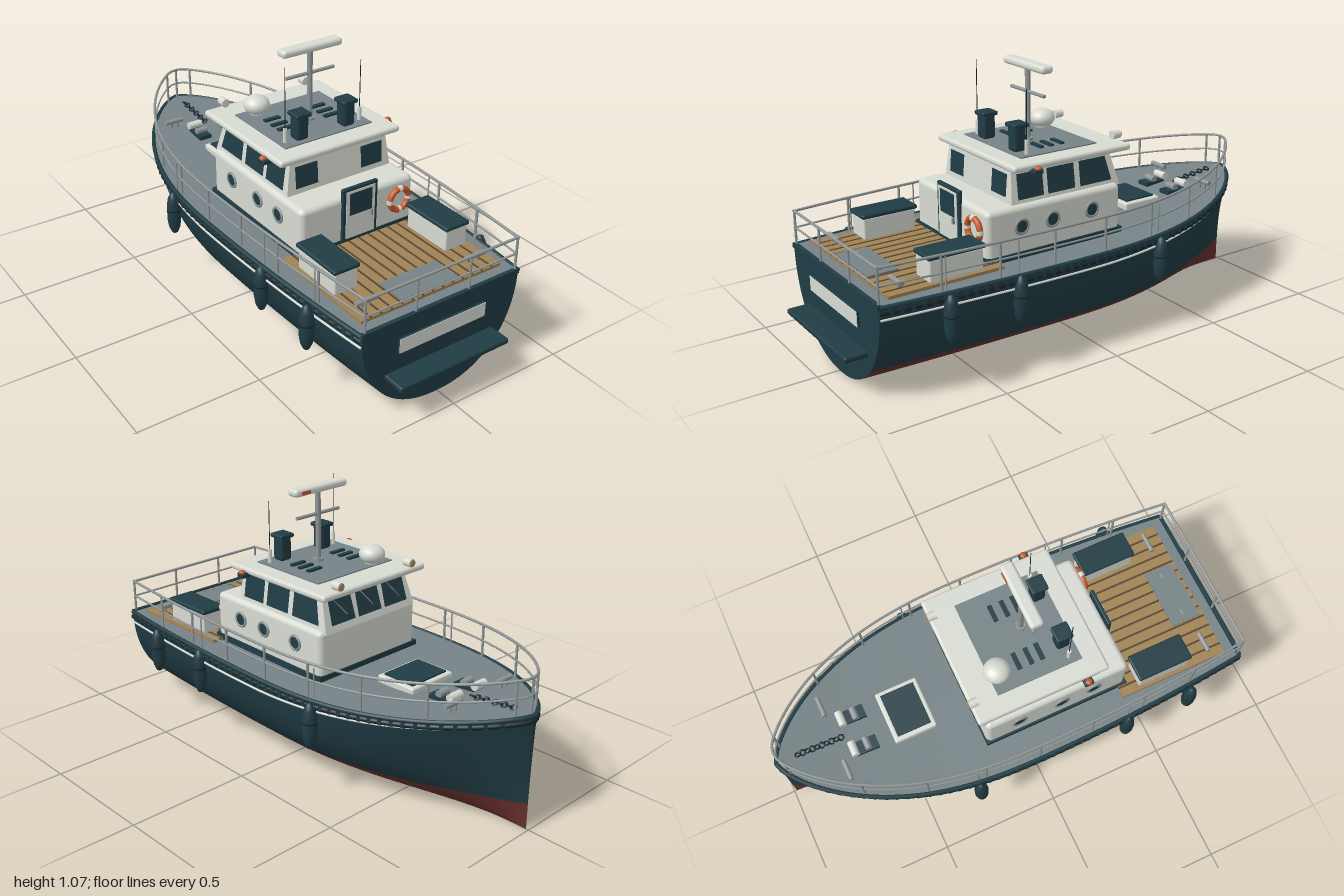
import * as THREE from 'three';
import { RoundedBoxGeometry } from 'three/addons/geometries/RoundedBoxGeometry.js';

const mat = (name, color, side = THREE.FrontSide) => {
  const m = new THREE.MeshStandardMaterial({ color, side });
  m.name = name;
  return m;
};
const TWO = THREE.DoubleSide;
const M = {
  teal: mat('dark teal', 0x203c44, TWO), red: mat('antifouling red', 0x68312e, TWO),
  deck: mat('deck grey', 0x768386, TWO), white: mat('off white', 0xd7dbd2),
  wood: mat('teak', 0xa08355), seam: mat('teak seam', 0x584630), orange: mat('safety orange', 0xc65a2a),
  metal: mat('rail metal', 0x8f9596, TWO), black: mat('black rubber', 0x16242a), tan: mat('lens tan', 0xb08a5c),
};

// Hull lines: half beam, sheer height and section width
const STERN = 0.91, BOW = -0.99, WATER = 0.105;
const fwd = z => Math.min(1, Math.max(0, -z) / 0.99);
const beam = z => z < 0 ? 0.403 * (1 - fwd(z) ** 2.5) ** 0.73 : 0.403 - 0.048 * (z / STERN) ** 2;
const sheer = z => 0.39 + 0.07 * fwd(z) ** 2;
const hullX = (z, y) => {
  const s = Math.min(1, Math.max(0, y / sheer(z)));
  const round = (1 - (1 - s) ** 2.2) ** (1 / 2.2);
  return beam(z) * THREE.MathUtils.lerp(round, s ** 0.8, fwd(z) ** 2.2);
};
const station = u => BOW + (STERN - BOW) * u ** 1.7;

// Surface from a rule f(u, v) -> [x, y, z]
function surface(nu, nv, f) {
  const pos = [], idx = [];
  for (let i = 0; i <= nu; i++) for (let j = 0; j <= nv; j++) pos.push(...f(i / nu, j / nv));
  for (let i = 0; i < nu; i++) for (let j = 0; j < nv; j++) {
    const a = i * (nv + 1) + j, b = a + nv + 1;
    idx.push(a, a + 1, b, b, a + 1, b + 1);
  }
  const g = new THREE.BufferGeometry();
  g.setAttribute('position', new THREE.Float32BufferAttribute(pos, 3));
  g.setIndex(idx);
  g.computeVertexNormals();
  return g;
}
const quad = (a, b, c, d) => surface(1, 1, (u, v) => (u ? (v ? c : b) : (v ? d : a)));

export function createModel() {
  const root = new THREE.Group();
  root.name = 'motorBoat';
  const add = (name, geo, m, x = 0, y = 0, z = 0) => {
    const mesh = new THREE.Mesh(geo, m);
    mesh.name = name;
    mesh.position.set(x, y, z);
    root.add(mesh);
    return mesh;
  };
  // Box given by its limits, optionally rounded
  const box = (name, m, x0, x1, y0, y1, z0, z1, r = 0) => add(name,
    r ? new RoundedBoxGeometry(x1 - x0, y1 - y0, z1 - z0, 3, r) : new THREE.BoxGeometry(x1 - x0, y1 - y0, z1 - z0),
    m, (x0 + x1) / 2, (y0 + y1) / 2, (z0 + z1) / 2);
  const cyl = (name, m, r, h, x, y, z, axis = 'y') => {
    const g = new THREE.CylinderGeometry(r, r, h, 20);
    if (axis === 'x') g.rotateZ(Math.PI / 2);
    if (axis === 'z') g.rotateX(Math.PI / 2);
    return add(name, g, m, x, y, z);
  };
  const tube = (name, m, pts, r) => add(name,
    new THREE.TubeGeometry(new THREE.CatmullRomCurve3(pts), 140, r, 8), m);
  // U-shaped path from stern to bow and back
  const around = (xf, yf, tip = BOW) => Array.from({ length: 49 }, (_, i) => {
    const a = (i - 24) / 24, z = tip + (STERN - tip) * Math.abs(a) ** 1.7;
    return new THREE.Vector3(Math.sign(a) * Math.max(0, xf(z)), yf(z), z);
  });

  // Hull
  add('hullBottom', surface(60, 40, (u, v) => {
    const z = station(u), k = v * 2 - 1, y = WATER * Math.abs(k) ** 2.2;
    return [Math.sign(k) * hullX(z, y), y, z];
  }), M.red);
  for (const s of [-1, 1]) add('hullSide', surface(60, 16, (u, v) => {
    const z = station(u), y = WATER + (sheer(z) - WATER) * v;
    return [s * hullX(z, y), y, z];
  }), M.teal);
  add('transom', surface(24, 1, (u, v) => {
    const y = 0.39 * u ** 2.2;
    return [(v * 2 - 1) * hullX(STERN, y), y, STERN];
  }), M.teal);
  add('deck', surface(60, 2, (u, v) => {
    const z = station(u);
    return [(v * 2 - 1) * beam(z), sheer(z) - 0.002, z];
  }), M.deck);
  tube('gunwale', M.teal, around(z => beam(z), z => sheer(z) - 0.006), 0.009);
  const rubY = z => sheer(z) - 0.026;
  tube('rubRail', M.black, around(z => hullX(z, rubY(z)) + 0.001, rubY), 0.01);
  const stripeY = z => sheer(z) - 0.052 + 0.025 * fwd(z);
  tube('hullStripe', M.white, around(z => hullX(z, stripeY(z)) + 0.003, stripeY), 0.0045);
  // Ribs along the rub rail
  for (let i = 0; i < 46; i++) for (const s of [-1, 1]) {
    const z = -0.93 + i * 0.04;
    const rib = add('rubRib', new THREE.BoxGeometry(0.014, 0.024, 0.014), M.teal, s * (hullX(z, rubY(z)) + 0.004), rubY(z) + 0.004, z);
    rib.rotation.y = s * Math.atan((beam(z + 0.01) - beam(z - 0.01)) / 0.02);
  }
  box('sternCap', M.teal, -0.355, 0.355, 0.375, 0.394, 0.9, 0.916);
  box('sternPanelBack', M.teal, -0.197, 0.195, 0.255, 0.313, 0.905, 0.919);
  box('sternPanel', M.white, -0.197, 0.195, 0.255, 0.313, 0.919, 0.921);
  box('swimPlatform', M.teal, -0.25, 0.25, 0.157, 0.18, 0.895, 1.0, 0.008);

  // Fenders
  for (const s of [-1, 1]) for (const z of [-0.29, 0.37, 0.66]) {
    const prof = [[0, -0.095], [0.012, -0.09], [0.023, -0.065], [0.028, -0.03], [0.028, 0.03], [0.023, 0.065], [0.012, 0.09], [0, 0.095]];
    add('fender', new THREE.LatheGeometry(prof.map(p => new THREE.Vector2(...p)), 20), M.teal, s * 0.403, 0.295, z);
    cyl('fenderBand', M.black, 0.029, 0.006, s * 0.403, 0.31, z);
    cyl('fenderRope', M.metal, 0.003, 0.14, s * (beam(z) - 0.008), 0.45, z);
  }

  // Guard rails
  const railX = z => beam(z) - 0.014;
  for (const [h, r] of [[0.135, 0.0055], [0.068, 0.004]]) {
    tube('sideRail', M.metal, around(railX, z => sheer(z) + h, -0.975), r);
    cyl('sternRail', M.metal, r, 0.69, 0, 0.39 + h, 0.905, 'x');
  }
  for (let i = 0; i < 9; i++) for (const s of [-1, 1]) {
    const z = 0.905 - i * 0.232;
    cyl('railPost', M.metal, 0.005, 0.135, s * railX(z), sheer(z) + 0.067, z);
  }
  cyl('bowPost', M.metal, 0.005, 0.135, 0, sheer(BOW) + 0.065, -0.975);
  for (const x of [-0.12, 0.12]) cyl('sternPost', M.metal, 0.005, 0.135, x, 0.457, 0.905);

  // Cockpit
  box('cockpitFloor', M.wood, -0.318, 0.318, 0.385, 0.4, 0.385, 0.855);
  for (let i = -6; i <= 6; i++) box('plankSeam', M.seam, i * 0.046 - 0.004, i * 0.046 + 0.004, 0.398, 0.4015, 0.385, 0.855);
  box('floorHatch', M.deck, -0.13, 0.13, 0.398, 0.405, 0.715, 0.84);
  for (const s of [-1, 1]) {
    box('hatchHandle', M.metal, s * 0.09 - 0.012, s * 0.09 + 0.012, 0.404, 0.409, 0.77, 0.78);
    box('locker', M.white, s * 0.253 - 0.05, s * 0.253 + 0.05, 0.398, 0.486, 0.465, 0.685, 0.006);
    box('lockerLid', M.teal, s * 0.253 - 0.057, s * 0.253 + 0.057, 0.484, 0.502, 0.455, 0.692, 0.007);
  }
  // Cleats
  for (const s of [-1, 1]) for (const [x, z] of [[0.25, 0.79], [0.142, -0.745]]) {
    const y = sheer(z) + 0.005;
    cyl('cleatBar', M.metal, 0.01, 0.085, s * x, y + 0.026, z, 'x');
    for (const d of [-0.015, 0.015]) cyl('cleatLeg', M.metal, 0.006, 0.03, s * x + d, y + 0.01, z);
  }

  // Foredeck hatch, winches and chain
  box('foreHatchFrame', M.white, -0.112, 0.112, 0.395, 0.428, -0.53, -0.35, 0.008);
  box('foreHatchGlass', M.teal, -0.093, 0.093, 0.42, 0.434, -0.512, -0.368);
  for (const s of [-1, 1]) {
    box('winchBase', M.teal, s * 0.07 - 0.028, s * 0.07 + 0.028, 0.412, 0.43, -0.69, -0.592);
    cyl('winchDrum', M.white, 0.016, 0.06, s * 0.068, 0.445, -0.692, 'x');
    cyl('winchDrum', M.metal, 0.014, 0.05, s * 0.068, 0.44, -0.635, 'x');
  }
  for (let i = 0; i < 10; i++) {
    const z = -0.9 + i * 0.02;
    const link = add('chainLink', new THREE.TorusGeometry(0.011, 0.0035, 6, 12), M.black, 0, sheer(z) + 0.005, z);
    link.rotation.set(Math.PI / 2, i % 2 ? 0.5 : -0.5, 0);
  }

  // Lower cabin
  box('cabinFoot', M.teal, -0.268, 0.268, 0.38, 0.412, -0.2, 0.425);
  box('lowerCabin', M.white, -0.26, 0.26, 0.39, 0.59, -0.195, 0.42, 0.022);
  for (const s of [-1, 1]) for (const z of [0.27, 0.13, -0.055]) {
    add('portholeRing', new THREE.TorusGeometry(0.028, 0.006, 8, 24), M.metal, s * 0.261, 0.51, z).rotation.y = Math.PI / 2;
    cyl('portholeGlass', M.teal, 0.027, 0.008, s * 0.26, 0.51, z, 'x');
  }

  // Wheelhouse with walls leaning in
  const Y0 = 0.58, Y1 = 0.73, k = y => (y - Y0) / (Y1 - Y0);
  const wallX = y => 0.24 - 0.022 * k(y), frontZ = y => -0.205 + 0.045 * k(y), aftZ = y => 0.3 - 0.012 * k(y);
  const house = new THREE.BoxGeometry(2, 1, 2), p = house.attributes.position;
  for (let i = 0; i < p.count; i++) {
    const y = p.getY(i) > 0 ? Y1 : Y0;
    p.setXYZ(i, Math.sign(p.getX(i)) * wallX(y), y, p.getZ(i) > 0 ? aftZ(y) : frontZ(y));
  }
  house.computeVertexNormals();
  add('wheelhouse', house, M.white);
  const lo = 0.605, hi = 0.702, off = 0.003;
  for (const s of [-1, 1]) {
    const P = (y, z) => [s * (wallX(y) + off), y, z];
    for (const [a, b, c] of [[0.27, 0.155, 0.155], [0.135, 0.01, 0.01], [-0.015, -0.165, -0.14]])
      add('sideWindow', quad(P(lo, a), P(lo, b), P(hi, c), P(hi, a)), M.teal);
    const A = (x, y) => [s * x, y, aftZ(y) + off];
    add('aftWindow', quad(A(0.1, 0.612), A(0.2, 0.612), A(0.2, 0.7), A(0.1, 0.7)), M.teal);
  }
  for (const c of [-0.142, 0, 0.142]) {
    const F = (x, y, o = off) => [c + x, y, frontZ(y) - o];
    add('frontWindow', quad(F(-0.062, lo), F(0.062, lo), F(0.058, hi), F(-0.058, hi)), M.teal);
    add('wiper', quad(F(0.035, hi, 0.006), F(0.04, hi, 0.006), F(-0.02, 0.63, 0.006), F(-0.025, 0.63, 0.006)), M.metal);
  }

  // Aft door
  box('doorFrame', M.teal, -0.081, 0.081, 0.405, 0.628, 0.414, 0.43, 0.005);
  box('doorPanel', M.white, -0.066, 0.066, 0.418, 0.615, 0.425, 0.433);
  box('doorWindow', M.teal, -0.051, 0.051, 0.515, 0.606, 0.43, 0.435);
  box('doorHandle', M.metal, 0.044, 0.052, 0.49, 0.515, 0.432, 0.442);

  // Lifebuoy
  add('lifebuoy', new THREE.TorusGeometry(0.044, 0.012, 12, 36), M.orange, 0.185, 0.51, 0.432);
  for (let i = 0; i < 4; i++) {
    const g = new THREE.TorusGeometry(0.044, 0.0132, 12, 6, 0.35);
    add('lifebuoyBand', g, M.white, 0.185, 0.51, 0.432).rotation.z = i * Math.PI / 2 - 0.175;
  }

  // Roof and its fittings
  box('roof', M.white, -0.275, 0.275, 0.721, 0.748, -0.232, 0.312, 0.012);
  box('roofPanel', M.deck, -0.2, 0.2, 0.745, 0.752, -0.12, 0.232);
  for (const s of [-1, 1]) {
    for (const z of [0, 0.05, 0.095]) box('roofVent', M.teal, s * 0.107 - 0.035, s * 0.107 + 0.035, 0.75, 0.76, z - 0.009, z + 0.009);
    box('exhaustStack', M.teal, s * 0.107 - 0.027, s * 0.107 + 0.027, 0.75, 0.85, 0.159, 0.213, 0.012);
    box('exhaustCap', M.teal, s * 0.107 - 0.034, s * 0.107 + 0.034, 0.843, 0.86, 0.152, 0.22, 0.006);
    cyl('antennaBase', M.white, 0.008, 0.06, s * 0.172, 0.777, 0.187);
    const h = s < 0 ? 0.25 : 0.2;
    cyl('antenna', M.black, 0.0016, h, s * 0.172, 0.8 + h / 2, 0.187);
    cyl('searchlight', M.white, 0.017, 0.036, s * 0.192, 0.767, -0.218, 'z');
    cyl('searchlightLens', M.tan, 0.014, 0.006, s * 0.192, 0.767, -0.237, 'z');
    box('navLightBracket', M.teal, s * 0.278 - 0.022, s * 0.278 + 0.022, 0.711, 0.73, 0.198, 0.236, 0.004);
    add('navLight', new THREE.SphereGeometry(0.014, 16, 10), M.orange, s * 0.29, 0.732, 0.217).scale.y = 0.7;
  }
  add('radome', new THREE.SphereGeometry(0.052, 28, 18), M.white, -0.12, 0.787, -0.088).scale.y = 0.74;
  cyl('radomeFoot', M.white, 0.03, 0.02, -0.12, 0.755, -0.088);

  // Mast and radar
  cyl('mast', M.metal, 0.011, 0.3, 0.017, 0.895, 0.075);
  cyl('mastFoot', M.metal, 0.02, 0.012, 0.017, 0.757, 0.075);
  cyl('crossBar', M.metal, 0.007, 0.222, 0.017, 0.946, 0.075, 'x');
  box('radarBar', M.white, -0.119, 0.153, 1.035, 1.066, 0.048, 0.102, 0.014);
  box('radarMark', M.orange, 0.08, 0.125, 1.043, 1.057, 0.045, 0.05);

  return root;
}
